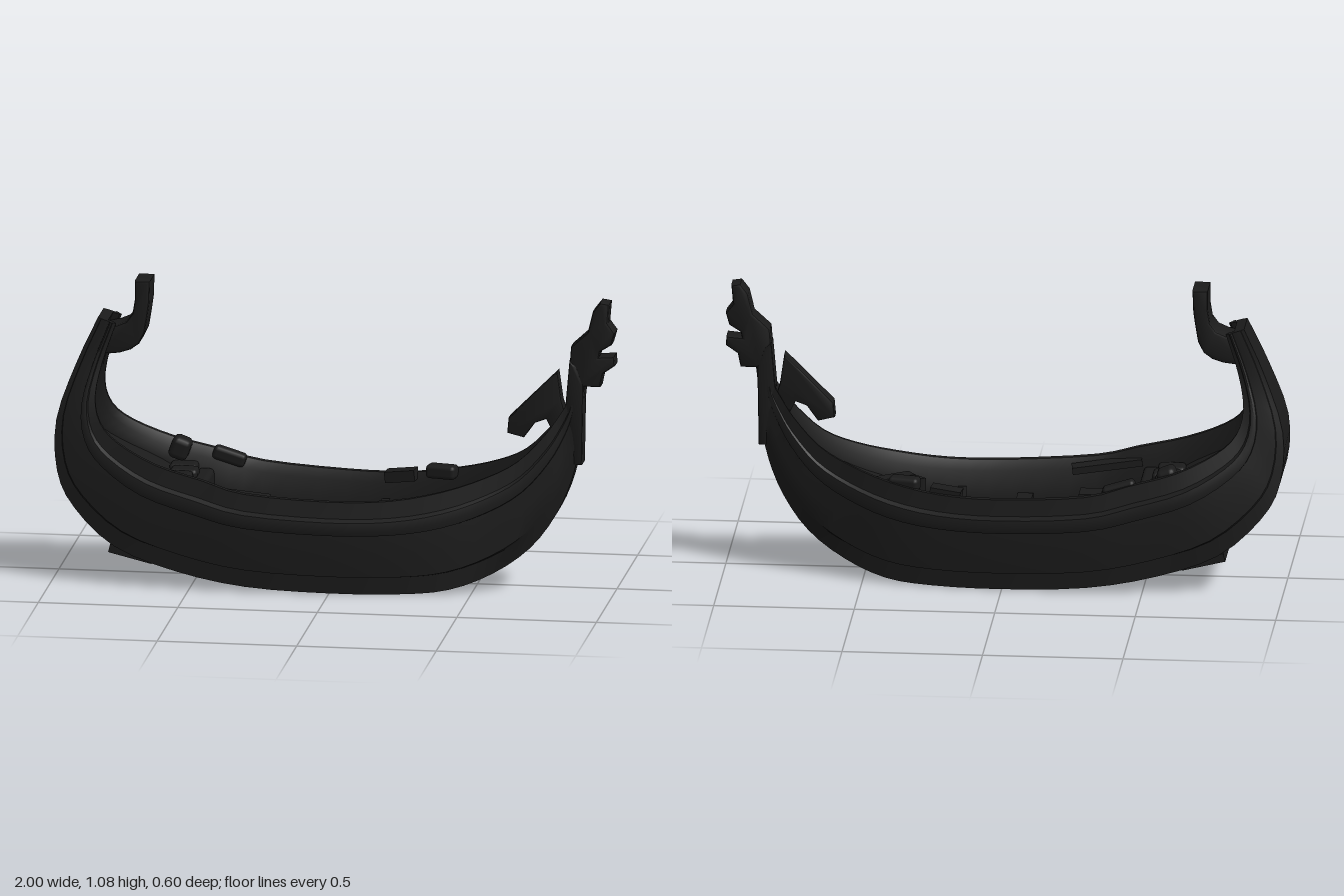
import * as THREE from 'three';
import { toCreasedNormals } from 'three/addons/utils/BufferGeometryUtils.js';
import { RoundedBoxGeometry } from 'three/addons/geometries/RoundedBoxGeometry.js';

const blackWood = new THREE.MeshStandardMaterial({ color: 0x1b1b1b });

// Stations from stern tip to bow: keel x, y, gunwale x, y
const PROFILE = [
  [-0.85, 0.945, -0.785, 0.925], [-0.925, 0.78, -0.83, 0.79], [-0.992, 0.58, -0.852, 0.67],
  [-0.985, 0.40, -0.83, 0.58], [-0.92, 0.275, -0.76, 0.515], [-0.77, 0.145, -0.62, 0.45],
  [-0.55, 0.065, -0.45, 0.405], [-0.3, 0.02, -0.3, 0.365], [0, 0.005, 0, 0.345],
  [0.25, 0.005, 0.22, 0.35], [0.42, 0.018, 0.4, 0.38], [0.57, 0.07, 0.55, 0.425],
  [0.7, 0.16, 0.66, 0.48], [0.79, 0.28, 0.75, 0.57], [0.845, 0.41, 0.8, 0.64],
  [0.87, 0.54, 0.83, 0.69], [0.875, 0.7, 0.845, 0.73],
];
// Same stations: half width, floor height ratio, bottom width ratio
const BREADTH = [
  [0.083, 0.55, 0.84], [0.104, 0.55, 0.83], [0.143, 0.58, 0.82], [0.178, 0.66, 0.83], [0.216, 0.74, 0.82],
  [0.262, 0.76, 0.8], [0.285, 0.62, 0.77], [0.3, 0.58, 0.77], [0.29, 0.58, 0.77], [0.262, 0.62, 0.76],
  [0.22, 0.74, 0.74], [0.16, 0.78, 0.7], [0.115, 0.8, 0.68], [0.08, 0.8, 0.68], [0.055, 0.8, 0.72],
  [0.045, 0.8, 0.8], [0.04, 0.8, 0.85],
];

// Half section from keel centre, over the rail, to floor centre: [height ratio, width ratio]
const halfSection = (floor, bottom, chine) => [
  [0, 0], [0, bottom], [0.18, chine], [0.2, 0.88], [0.45, 0.9], [0.65, 0.89], [0.66, 0.98], [0.72, 1],
  [0.8, 0.98], [0.83, 0.91], [1, 0.87], [1, 0.79], [0.9, 0.7], [floor, 0.66], [floor, 0],
];

function hullGeometry() {
  const { smoothstep, lerp } = THREE.MathUtils;
  const curve = (f) => new THREE.CatmullRomCurve3(f, false, 'catmullrom', 0.5);
  const keel = curve(PROFILE.map((p) => new THREE.Vector3(p[0], p[1], 0)));
  const gunwale = curve(PROFILE.map((p) => new THREE.Vector3(p[2], p[3], 0)));
  const breadth = curve(BREADTH.map((b) => new THREE.Vector3(...b)));
  const N = 48, pos = [], index = [], caps = [];
  let M = 0;
  for (let i = 0; i <= N; i++) {
    const u = i / N;
    const k = keel.getPoint(u), g = gunwale.getPoint(u), b = breadth.getPoint(u);
    // the step above the bottom planks fades out toward both ends
    const step = smoothstep(u, 0.24, 0.36) * (1 - smoothstep(u, 0.64, 0.76));
    const half = halfSection(b.y, b.z, lerp(0.85, b.z + 0.01, step));
    const ring = half.concat(half.slice(1, -1).reverse().map(([t, z]) => [t, -z]));
    M = ring.length;
    for (const [t, z] of ring) {
      const p = k.clone().lerp(g, t);
      pos.push(p.x, p.y, z * b.x);
    }
    if (i === 0 || i === N) caps.push([i * M, ring.map(([t, z]) => new THREE.Vector2(z, t))]);
  }
  for (let i = 0; i < N; i++) {
    for (let j = 0; j < M; j++) {
      const a = i * M + j, c = i * M + ((j + 1) % M);
      index.push(a, a + M, c + M, a, c + M, c);
    }
  }
  caps.forEach(([base, ring], n) => {
    for (const [a, b, c] of THREE.ShapeUtils.triangulateShape(ring, [])) {
      index.push(base + a, base + (n ? c : b), base + (n ? b : c));
    }
  });
  const geo = new THREE.BufferGeometry();
  geo.setAttribute('position', new THREE.Float32BufferAttribute(pos, 3));
  geo.setIndex(index);
  return toCreasedNormals(geo, 0.6);
}

// Side outline in x, y extruded symmetrically across z
function sideCut(points, width, bevel = 0.008) {
  const shape = new THREE.Shape(points.map(([x, y]) => new THREE.Vector2(x, y)));
  const geo = new THREE.ExtrudeGeometry(shape, {
    depth: width - 2 * bevel, bevelEnabled: true, bevelSize: bevel, bevelOffset: -bevel,
    bevelThickness: bevel, bevelSegments: 2,
  });
  return toCreasedNormals(geo.translate(0, 0, bevel - width / 2), 0.7);
}

export function createModel() {
  const boat = new THREE.Group();
  boat.name = 'boat';
  const add = (name, geo, x = 0, y = 0, z = 0, ry = 0, rz = 0) => {
    const mesh = new THREE.Mesh(geo, blackWood);
    mesh.name = name;
    mesh.position.set(x, y, z);
    mesh.rotation.set(0, ry, rz);
    boat.add(mesh);
  };
  const box = (name, w, h, d, ...place) => add(name, new THREE.BoxGeometry(w, h, d), ...place);
  const soft = (name, w, h, d, ...place) =>
    add(name, new RoundedBoxGeometry(w, h, d, 2, Math.min(w, h, d) * 0.3), ...place);

  add('hull', hullGeometry());
  box('bottomPlankEnd', 0.16, 0.03, 0.4, -0.713, 0.117, 0, 0, -0.24);

  // Curled stern ornament
  add('sternScroll', sideCut([
    [-0.845, 0.9], [-0.84, 0.82], [-0.815, 0.81], [-0.775, 0.815], [-0.735, 0.828], [-0.705, 0.85],
    [-0.685, 0.89], [-0.675, 0.95], [-0.668, 1.0], [-0.665, 1.08], [-0.72, 1.08], [-0.72, 1.01],
    [-0.728, 0.96], [-0.75, 0.93], [-0.785, 0.915],
  ], 0.125, 0.01));

  // Bow stem, figurehead and the slanted fin behind them
  add('bowStem', sideCut([
    [0.85, 0.46], [0.88, 0.46], [0.885, 0.75], [0.86, 0.82], [0.835, 0.84], [0.82, 0.67],
  ], 0.085));
  add('figurehead', sideCut([
    [0.825, 0.7], [0.885, 0.7], [0.89, 0.745], [0.945, 0.745], [0.955, 0.795], [0.998, 0.825],
    [0.995, 0.86], [0.94, 0.855], [0.945, 0.875], [0.985, 0.9], [0.998, 0.945], [0.972, 0.98],
    [0.978, 1.05], [0.945, 1.055], [0.918, 1.02], [0.9, 0.945], [0.84, 0.89],
  ], 0.08, 0.012));
  add('bowFin', sideCut([
    [0.61, 0.565], [0.67, 0.55], [0.71, 0.605], [0.75, 0.62], [0.77, 0.58], [0.82, 0.64],
    [0.805, 0.69], [0.79, 0.795], [0.615, 0.62],
  ], 0.06));

  // Cockpit: rounded aft bench, thwart and step up to the fore deck
  soft('aftBench', 0.06, 0.12, 0.4, -0.5, 0.285, 0);
  box('thwart', 0.055, 0.03, 0.38, -0.05, 0.22, 0);
  box('foreBulkhead', 0.03, 0.07, 0.34, 0.16, 0.225, 0, 0.08);

  // Row of cushions behind the bench
  for (let i = 0; i < 5; i++) {
    soft('cushion', 0.1, 0.05, 0.08, -0.575 + (i % 2) * 0.012, 0.345, -0.16 + i * 0.075);
  }

  // Bundles stowed along the sides
  soft('sternBundle', 0.07, 0.08, 0.08, -0.59, 0.42, -0.175, 0, -0.35);
  soft('sideBundle', 0.12, 0.05, 0.05, -0.42, 0.385, -0.215, 0, -0.3);
  soft('bowBundle', 0.11, 0.05, 0.06, 0.35, 0.37, -0.16, -0.2);
  box('bowCargo', 0.11, 0.04, 0.06, 0.2, 0.345, -0.185, -0.1, 0.12);

  // Cargo on the floor
  for (const x of [-0.4, -0.29]) box('crate', 0.08, 0.07, 0.08, x, 0.24, 0.1);
  box('sidePlank', 0.25, 0.025, 0.06, -0.34, 0.345, 0.195, 0.12, -0.12);
  add('bowWedge', new THREE.CylinderGeometry(0.06, 0.06, 0.05, 3), 0.35, 0.3, 0.06, 0.3);
  box('loosePlank', 0.18, 0.02, 0.05, 0.42, 0.32, 0.04, 0.6);
  return boat;
}
